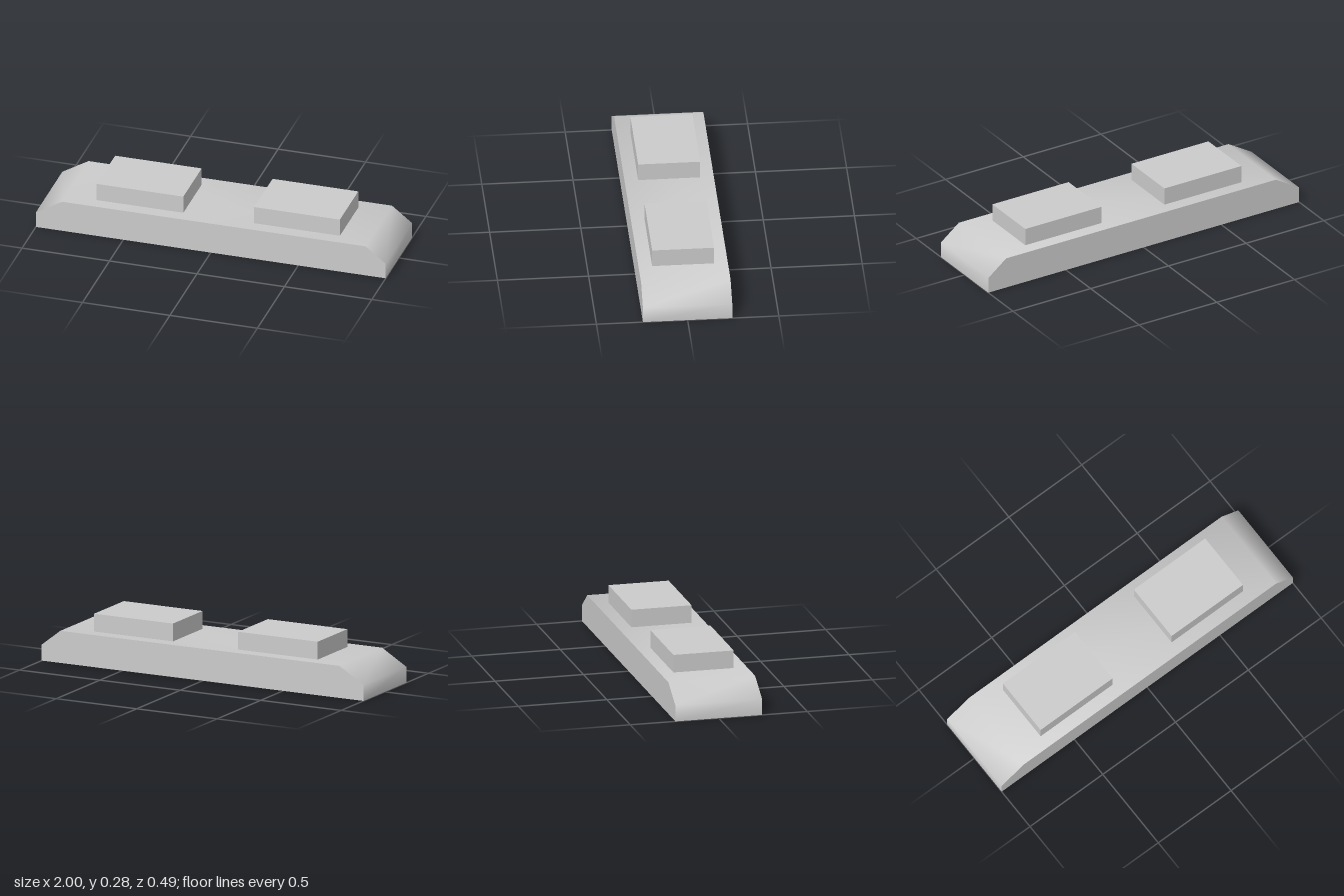
import * as THREE from 'three';
import { toCreasedNormals } from 'three/addons/utils/BufferGeometryUtils.js';

export function createModel() {
  const model = new THREE.Group();
  const material = new THREE.MeshStandardMaterial({ color: 0xcccccc });
  const deckY = 0.18, width = 0.49;

  // Long base: side profile with sloped ends, extruded across its width
  const profile = new THREE.Shape([
    [-1, 0], [1, 0], [1, 0.09], [0.885, deckY], [-0.85, deckY], [-1, 0.09],
  ].map(([x, y]) => new THREE.Vector2(x, y)));
  const baseGeometry = new THREE.ExtrudeGeometry(profile, { depth: width, bevelEnabled: false });
  baseGeometry.translate(0, 0, -width / 2);
  // The slopes blend smoothly into the deck and ends; square edges stay sharp
  const base = new THREE.Mesh(toCreasedNormals(baseGeometry, THREE.MathUtils.degToRad(65)), material);
  base.name = 'base';
  model.add(base);

  // Two raised blocks on the deck
  const blockHeight = 0.1;
  for (const [name, x0, x1] of [['rightBlock', -0.675, -0.18], ['leftBlock', 0.225, 0.715]]) {
    const block = new THREE.Mesh(new THREE.BoxGeometry(x1 - x0, blockHeight, 0.34), material);
    block.name = name;
    block.position.set((x0 + x1) / 2, deckY + blockHeight / 2, 0);
    model.add(block);
  }
  return model;
}
